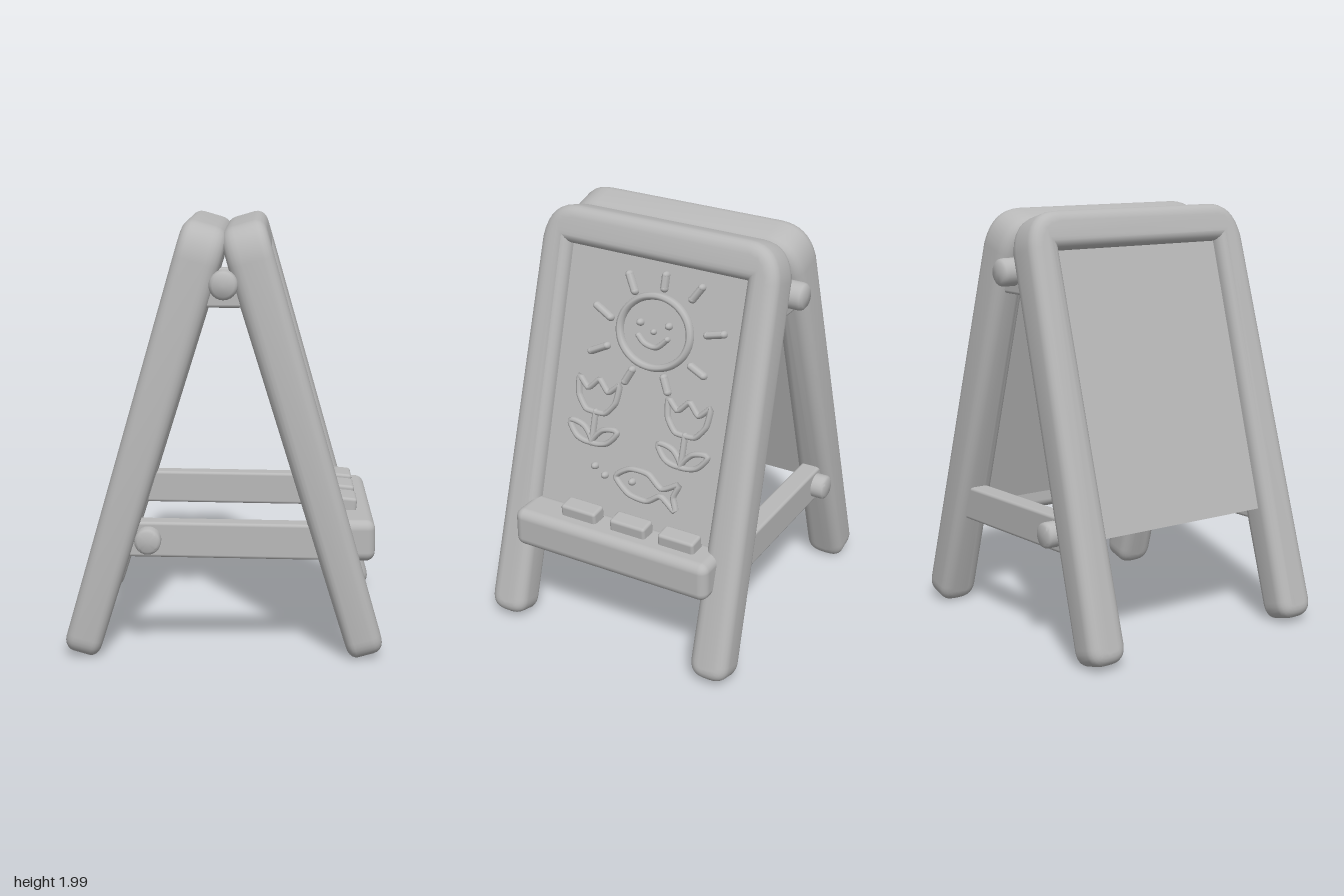
import * as THREE from 'three';
import { toCreasedNormals } from 'three/addons/utils/BufferGeometryUtils.js';
import { RoundedBoxGeometry } from 'three/addons/geometries/RoundedBoxGeometry.js';

const SLOPE = Math.atan(0.286); // lean of each leaf
const FACE = 0.032;             // outer face of the board, from the leaf's middle plane

const clay = new THREE.MeshStandardMaterial({ color: 0xb8b8b8 });
clay.name = 'grey';

function add(parent, name, geometry, x = 0, y = 0, z = 0) {
  const mesh = new THREE.Mesh(geometry, clay);
  mesh.name = name;
  mesh.position.set(x, y, z);
  parent.add(mesh);
  return mesh;
}

// Upside-down U with rounded shoulders and feet; the inner side tapers towards the feet
function frameGeometry() {
  const top = 2.065, foot = 0.015, inner = 0.465, head = 1.885;
  const wTop = 0.62, wFoot = 0.66, r = 0.17, f = 0.085;
  const s = new THREE.Shape();
  s.moveTo(-wFoot, foot + f);
  s.lineTo(-wTop, top - r);
  s.quadraticCurveTo(-wTop + 0.02, top, -wTop + r, top);
  s.lineTo(wTop - r, top);
  s.quadraticCurveTo(wTop - 0.02, top, wTop, top - r);
  s.lineTo(wFoot, foot + f);
  s.quadraticCurveTo(wFoot, foot, wFoot - f, foot);
  s.lineTo(inner + f, foot);
  s.quadraticCurveTo(inner, foot, inner, foot + f);
  s.lineTo(inner, head);
  s.lineTo(-inner, head);
  s.lineTo(-inner, foot + f);
  s.quadraticCurveTo(-inner, foot, -inner - f, foot);
  s.lineTo(-wFoot + f, foot);
  s.quadraticCurveTo(-wFoot, foot, -wFoot, foot + f);
  const bevel = 0.055, half = 0.1;
  const g = new THREE.ExtrudeGeometry(s, {
    depth: 2 * (half - bevel), bevelEnabled: true, bevelSize: bevel,
    bevelThickness: bevel, bevelOffset: -bevel, bevelSegments: 5, curveSegments: 8,
  });
  g.translate(0, 0, bevel - half);
  const p = g.attributes.position;
  for (let i = 0; i < p.count; i++) {
    const z = p.getZ(i) / half;
    const reach = z > 0 ? 0.094 : Math.min(0.118, 0.072 + 0.03 * p.getY(i));
    p.setZ(i, z * reach);
  }
  return toCreasedNormals(g, 0.6);
}

// One leaf of the stand: frame and board; local z points outwards
function makeLeaf(name) {
  const tilt = new THREE.Group();
  tilt.name = name;
  tilt.position.x = 0.655;
  tilt.rotation.z = SLOPE;
  const leaf = new THREE.Group();
  leaf.rotation.y = Math.PI / 2;
  tilt.add(leaf);
  add(leaf, 'frame', frameGeometry());
  add(leaf, 'board', new THREE.BoxGeometry(0.96, 1.35, 0.08), 0, 1.24, FACE - 0.04);
  return { tilt, leaf };
}

// Raised line drawing on the board; x to the viewer's right, y is height above the ground
function makeDrawing(leaf) {
  const drawing = new THREE.Group();
  drawing.name = 'drawing';
  drawing.position.z = FACE + 0.006;
  drawing.scale.z = 1.6;
  leaf.add(drawing);
  const up = y => (y - 0.0105) / Math.cos(SLOPE);
  const dot = (name, x, y, r) => add(drawing, name, new THREE.SphereGeometry(r, 12, 8), x, up(y), 0);
  const stroke = (name, points, { closed = false, r = 0.014, tension = 0.5 } = {}) => {
    const v = points.map(([x, y]) => new THREE.Vector3(x, up(y), 0));
    const curve = new THREE.CatmullRomCurve3(v, closed, 'catmullrom', tension);
    add(drawing, name, new THREE.TubeGeometry(curve, points.length * 8, r, 8, closed));
    if (!closed) [points[0], points.at(-1)].forEach(([x, y]) => dot(name + 'End', x, y, r));
  };

  // Sun with face and rays
  const ring = [];
  for (let i = 0; i < 12; i++) {
    const a = i * Math.PI / 6;
    ring.push([0.03 + 0.185 * Math.cos(a), 1.51 + 0.16 * Math.sin(a)]);
  }
  stroke('sunRing', ring, { closed: true, r: 0.018 });
  [
    [-0.14, 1.74, -0.10, 1.67], [0.05, 1.77, 0.05, 1.71], [0.24, 1.75, 0.20, 1.69],
    [-0.29, 1.57, -0.21, 1.53], [0.30, 1.55, 0.38, 1.57], [-0.29, 1.36, -0.21, 1.40],
    [0.24, 1.40, 0.31, 1.37], [-0.09, 1.26, -0.06, 1.32], [0.11, 1.32, 0.14, 1.26],
  ].forEach(([a, b, c, d]) => stroke('sunRay', [[a, b], [c, d]], { r: 0.018 }));
  dot('sunEye', -0.05, 1.54, 0.018);
  dot('sunEye', 0.10, 1.55, 0.018);
  dot('sunNose', 0.025, 1.51, 0.014);
  stroke('sunSmile', [[-0.05, 1.48], [-0.01, 1.45], [0.05, 1.445], [0.10, 1.49]]);

  // Two tulips
  for (const x of [-0.225, 0.26]) {
    const at = pts => pts.map(([a, b]) => [x + a, b]);
    stroke('tulipCup', at([[-0.11, 1.235], [-0.055, 1.19], [0, 1.24], [0.055, 1.19], [0.11, 1.235],
      [0.10, 1.15], [0.05, 1.09], [-0.05, 1.09], [-0.10, 1.15]]), { closed: true, tension: 0.25 });
    stroke('tulipStem', at([[0, 1.09], [0, 0.94]]));
    for (const m of [-1, 1]) {
      stroke('tulipLeaf', at([[0, 0.945], [m * 0.05, 1.01], [m * 0.13, 1.02], [m * 0.08, 0.955]]),
        { closed: true });
    }
  }

  // Fish with bubbles
  stroke('fish', [[-0.07, 0.82], [0, 0.87], [0.10, 0.87], [0.18, 0.82], [0.265, 0.86], [0.245, 0.80],
    [0.265, 0.735], [0.18, 0.785], [0.11, 0.745], [0.01, 0.755]], { closed: true, tension: 0.35 });
  dot('fishEye', 0.02, 0.815, 0.018);
  dot('bubble', -0.13, 0.81, 0.018);
  dot('bubble', -0.19, 0.84, 0.018);
}

// Domed round pin head, facing local +y
function knobGeometry(r, h) {
  const profile = [[r, -0.06], [r, h * 0.5], [r * 0.93, h * 0.8], [r * 0.75, h], [0, h * 1.1]]
    .map(([x, y]) => new THREE.Vector2(x, y));
  return toCreasedNormals(new THREE.LatheGeometry(profile, 24), 0.8);
}

export function createModel() {
  const model = new THREE.Group();
  model.name = 'playBoardStand';

  // Two leaning leaves
  const front = makeLeaf('drawingLeaf');
  makeDrawing(front.leaf);
  model.add(front.tilt);
  const back = makeLeaf('plainLeaf');
  const turned = new THREE.Group();
  turned.name = 'plainSide';
  turned.rotation.y = Math.PI;
  turned.add(back.tilt);
  model.add(turned);

  // Tray with three chalks
  add(model, 'tray', new RoundedBoxGeometry(0.21, 0.195, 1.05, 4, 0.045), 0.592, 0.528, -0.015);
  for (const z of [0.19, -0.08, -0.34]) {
    const chalk = add(model, 'chalk', new RoundedBoxGeometry(0.09, 0.09, 0.19, 2, 0.015), 0.575, 0.64, z);
    chalk.rotation.z = -0.1;
  }

  // Side braces, hinge blocks and pin heads at both ends
  for (const m of [1, -1]) {
    const brace = add(model, 'sideBrace', new RoundedBoxGeometry(0.98, 0.165, 0.1, 2, 0.015), 0.05, 0.552, m * 0.55);
    brace.rotation.z = -0.012;
    add(model, 'hingeBlock', new RoundedBoxGeometry(0.17, 0.09, 0.09, 2, 0.015), 0, 1.66, m * 0.54);
    add(model, 'hingePin', knobGeometry(0.065, 0.05), 0, 1.72, m * 0.615).rotation.x = m * Math.PI / 2;
    add(model, 'bracePin', knobGeometry(0.06, 0.03), -0.343, 0.56, m * 0.635).rotation.x = m * Math.PI / 2;
  }
  return model;
}
